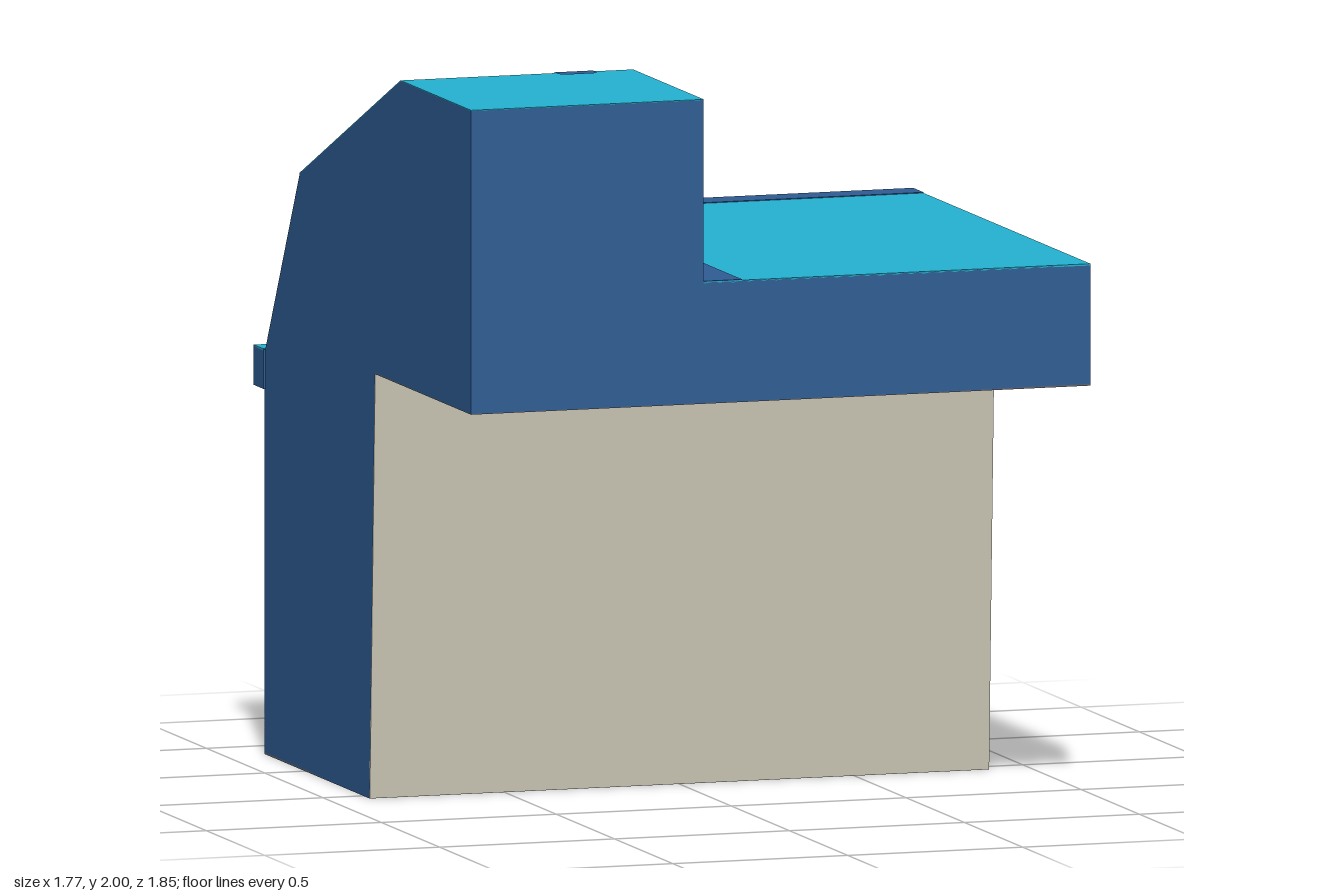
import * as THREE from 'three';

const mat = (name, color) => {
  const m = new THREE.MeshStandardMaterial({ color });
  m.name = name;
  return m;
};

export function createModel() {
  const model = new THREE.Group();
  model.name = 'steppedBlock';
  const blue = mat('deep blue', 0x2f5d95);
  const teal = mat('bright teal', 0x23b2d1);
  const beige = mat('beige', 0xcbc7b5);
  const grey = mat('light grey', 0xb2bbc2);
  const dark = mat('dark grey', 0x5f636c);

  const L = -0.885, S = -0.22, R = 0.885; // left edge, step, right edge in x

  const add = (name, geometry, material) => {
    const mesh = new THREE.Mesh(geometry, material);
    mesh.name = name;
    model.add(mesh);
    return mesh;
  };

  // Solid from a side profile of [z, y] points, spanning x0..x1
  const prism = (name, profile, x0, x1) => {
    const shape = new THREE.Shape(profile.map(([z, y]) => new THREE.Vector2(-z, y)));
    const g = new THREE.ExtrudeGeometry(shape, { depth: x1 - x0, bevelEnabled: false });
    g.rotateY(Math.PI / 2).translate(x0, 0, 0);
    add(name, g, blue);
  };

  // Thin painted plate on the face running from a to b ([z, y]), spanning x0..x1
  const plate = (name, a, b, x0, x1, material, lift = 0.002) => {
    const dz = b[0] - a[0], dy = b[1] - a[1], len = Math.hypot(dz, dy);
    const g = new THREE.BoxGeometry(x1 - x0, 0.005, len);
    g.translate(0, lift - 0.0025, 0);
    const m = add(name, g, material);
    m.rotation.x = Math.atan2(-dy, dz);
    m.position.set((x0 + x1) / 2, (a[1] + b[1]) / 2, (a[0] + b[0]) / 2);
  };
  const along = (a, b, t) => [a[0] + (b[0] - a[0]) * t, a[1] + (b[1] - a[1]) * t];

  // Corner points of the side profiles
  const baseBack = [-0.845, 0], baseFront = [0.055, 0];
  const inner = [0.1, 1.17], lip = [0.925, 1.17];
  const tallFront = [0.925, 2], ridge = [0.32, 2], knee = [-0.545, 1.63];
  const lowFront = [0.925, 1.5], lowBack = [-0.595, 1.5], shoulder = [-0.845, 1.1];
  const lower = [baseBack, baseFront, inner, lip];

  // Main solids
  prism('tallBody', [...lower, tallFront, ridge, knee, shoulder], L, S);
  prism('lowBody', [...lower, lowFront, lowBack, shoulder], S, R);
  prism('backLedge', [[-0.925, 1], [-0.84, 1], [-0.84, 1.108], [-0.925, 1.108]], -0.89, R);

  // Teal roofs
  plate('tallRoof', ridge, tallFront, L, S, teal);
  plate('tallRoofSlope', knee, ridge, L, S, teal);
  plate('tallBackStrip', shoulder, knee, -0.335, S, teal);
  plate('lowRoof', lowBack, lowFront, S, R, teal);
  plate('lowBackBand', along(lowBack, shoulder, 0.29), lowBack, S, R, teal);
  plate('ledgeTop', [-0.925, 1.108], [-0.845, 1.108], -0.89, R, teal);

  // Blue stripes painted on the roofs
  plate('slopeStripe', knee, ridge, -0.445, -0.335, blue, 0.004);
  const tip = new THREE.Shape([
    [-0.445, -0.318], [-0.335, -0.318], [-0.335, -0.355], [-0.35, -0.37], [-0.43, -0.37], [-0.445, -0.355],
  ].reverse().map(([x, y]) => new THREE.Vector2(x, y)));
  add('slopeStripeTip', new THREE.ShapeGeometry(tip).rotateX(-Math.PI / 2).translate(0, 2.004, 0), blue);
  plate('stepStripe', lowBack, lowFront, S, -0.11, blue, 0.004);
  plate('rearStripe', lowBack, [-0.505, 1.5], 0.11, R, blue, 0.004);

  // Front panel, back kick strip and undersides
  plate('frontPanel', inner, baseFront, L, R, beige);
  plate('backKickStrip', baseBack, [-0.845, 0.11], L, R, grey);
  plate('baseUnderside', baseFront, baseBack, L, R, dark, 0.001);
  plate('overhangUnderside', lip, inner, L, R, dark);

  return model;
}
